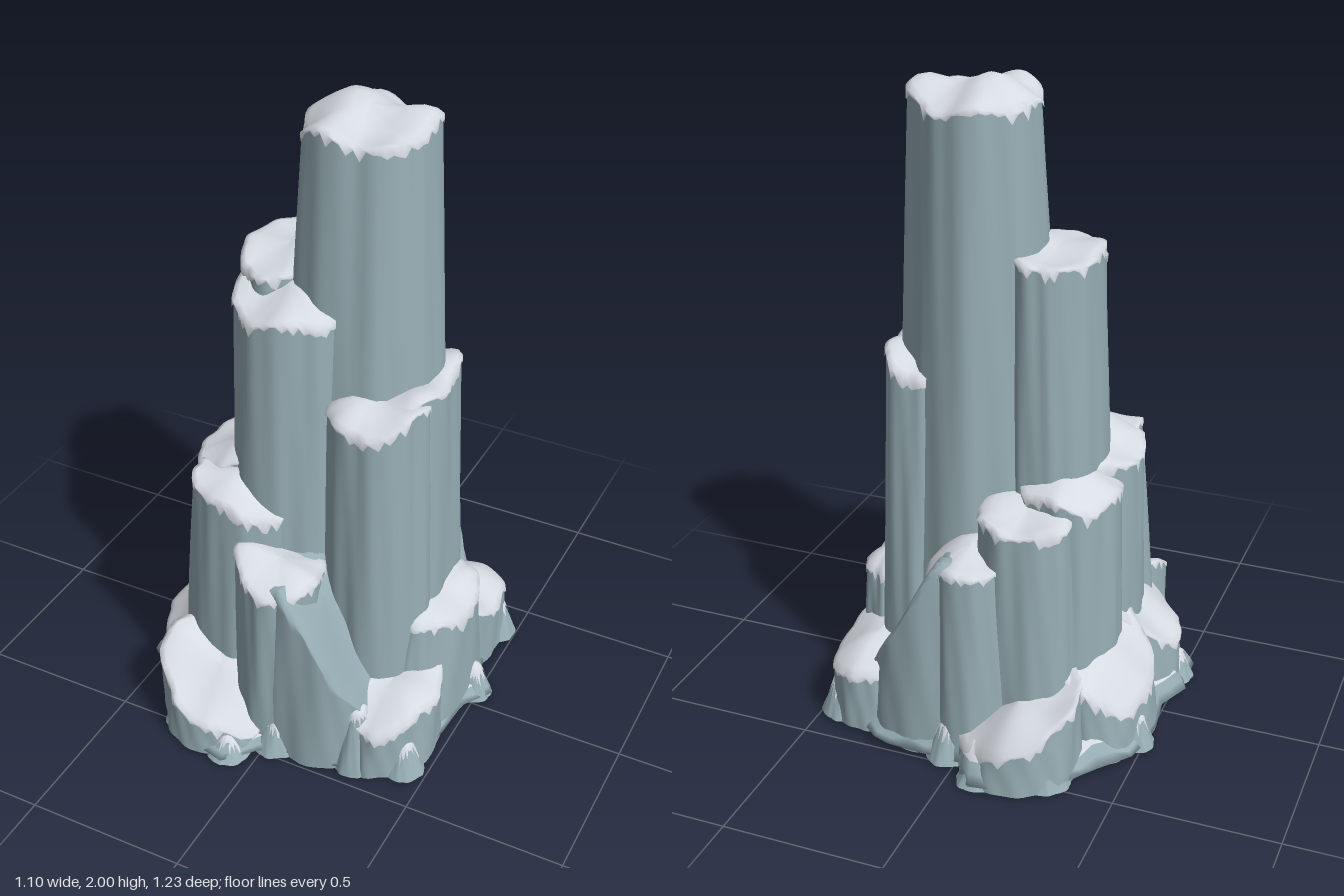
import * as THREE from 'three';

const SEG = 64;

export function createModel() {
  const rock = new THREE.MeshStandardMaterial({ color: 0x97aeb4 });
  rock.name = 'blue grey rock';
  const snow = new THREE.MeshStandardMaterial({ color: 0xd6dbe2, side: THREE.DoubleSide });
  snow.name = 'snow';
  const group = new THREE.Group();
  group.name = 'snowyRockSpire';

  // seeded value in 0..1
  const rand = (i, s) => {
    const v = Math.sin(i * 127.1 + s * 311.7) * 43758.5453;
    return v - Math.floor(v);
  };
  const lerp = THREE.MathUtils.lerp;

  // smooth skin through closed rings; point(ring, angle, index) gives [x, y, z]
  function loft(rings, point) {
    const pos = [], idx = [];
    for (let k = 0; k < rings; k++)
      for (let i = 0; i < SEG; i++) pos.push(...point(k, (i / SEG) * Math.PI * 2, i));
    for (let k = 0; k < rings - 1; k++)
      for (let i = 0; i < SEG; i++) {
        const j = (i + 1) % SEG, a = k * SEG + i, b = k * SEG + j;
        idx.push(a, a + SEG, b + SEG, a, b + SEG, b);
      }
    const g = new THREE.BufferGeometry();
    g.setAttribute('position', new THREE.Float32BufferAttribute(pos, 3));
    g.setIndex(idx);
    g.computeVertexNormals();
    return g;
  }

  function add(parent, name, geometry, material) {
    const mesh = new THREE.Mesh(geometry, material);
    mesh.name = name;
    parent.add(mesh);
  }

  // fluted pillar; foot and head are [x, z, radiusX, radiusZ], slopes tilt the top
  function pillar(name, seed, foot, head, h, o = {}) {
    const { sx = 0, sz = 0, dome = 0.025, max = 9, capMat = snow, bump = 0.012, drip = 0.035 } = o;
    const part = new THREE.Group();
    part.name = name;
    group.add(part);
    const wave = (a, v) => 1 + 0.03 * Math.sin(3 * a + seed + v * 0.6) + 0.025 * Math.sin(5 * a + 2.1 * seed + v * 1.6)
      + 0.02 * Math.sin(9 * a + 3.3 * seed + v * 2.5) + 0.008 * Math.sin(16 * a + seed - v * 5);
    const plan = (a, v, rho, out = 0) => {
      const r = wave(a, v) * rho;
      const c = foot.map((f, i) => lerp(f, head[i], v));
      return [c[0] + Math.cos(a) * (c[2] * r + out), c[1] + Math.sin(a) * (c[3] * r + out)];
    };
    const topY = (x, z) => Math.max(0.05, Math.min(max, h + sx * (x - head[0]) + sz * (z - head[1]))
      + bump * (Math.sin(x * 27 + seed) + Math.cos(z * 25 + seed * 2)));

    const levels = [0, 0.1, 0.25, 0.4, 0.55, 0.7, 0.85, 0.95, 1];
    add(part, 'rockWall', loft(levels.length, (k, a) => {
      const v = levels[k];
      const [x, z] = plan(a, v, 1);
      const [tx, tz] = plan(a, 1, 1);
      return [x, 0.01 + v * (topY(tx, tz) - 0.01), z];
    }), rock);

    // cap with a ragged hanging rim
    const rhos = [1, 1, 0.93, 0.75, 0.5, 0.25, 0.002];
    add(part, capMat === snow ? 'snowCap' : 'rockTop', loft(rhos.length, (k, a, i) => {
      const rho = rhos[k];
      const [x, z] = plan(a, 1, rho, k < 2 ? 0.005 : 0);
      const y = topY(x, z);
      if (k === 0) {
        const drop = Math.min(y * 0.5, 0.006 + drip * rand(i, seed) ** 2.5);
        const [bx, bz] = plan(a, 1 - drop / y, 1, 0.005);
        return [bx, y - drop, bz];
      }
      return [x, y + dome * (1 - rho * rho) + (k > 1 ? 0.006 : 0), z];
    }), capMat);
  }

  // tall stepped pillars
  pillar('mainSpire', 1, [0.08, -0.03, 0.29, 0.295], [0.09, -0.045, 0.185, 0.185], 1.935, { dome: 0.035, bump: 0.016 });
  pillar('frontLeftPillar', 2, [-0.08, 0.15, 0.19, 0.18], [-0.07, 0.13, 0.165, 0.145], 1.435, { sz: -0.15 });
  pillar('leftPillar', 3, [-0.18, -0.02, 0.16, 0.24], [-0.15, -0.03, 0.125, 0.19], 1.5, { dome: 0.01, bump: 0.008 });
  pillar('frontRightPillar', 4, [0.22, 0.13, 0.18, 0.18], [0.21, 0.13, 0.145, 0.155], 1.14, { sx: 0.1 });
  pillar('rightPillar', 5, [0.24, -0.04, 0.165, 0.265], [0.235, -0.03, 0.13, 0.22], 1.15, { sx: 0.1 });

  // middle ledges around the left half
  pillar('frontLeftLedge', 6, [-0.2, 0.24, 0.19, 0.16], [-0.17, 0.25, 0.15, 0.125], 0.81, { sx: -0.3 });
  pillar('leftLedge', 7, [-0.26, 0.08, 0.14, 0.18], [-0.25, 0.09, 0.13, 0.17], 0.86, { sx: 0.15 });
  pillar('backLeftLedge', 8, [-0.24, -0.13, 0.16, 0.2], [-0.23, -0.12, 0.145, 0.18], 0.83, { sx: 0.15 });
  pillar('backLedge', 9, [-0.16, -0.27, 0.17, 0.17], [-0.15, -0.28, 0.14, 0.14], 0.77);

  // mirrored spurs, shelves and aprons at front and back
  [['front', 1, 10], ['back', -1, 12]].forEach(([side, s, seed]) => {
    pillar(side + 'Spur', seed, [0.11, s * 0.31, 0.24, 0.18], [0.13, s * 0.32, 0.2, 0.16], 0.52,
      { sx: -1.65, max: 0.63, capMat: rock, dome: 0.02 });
    pillar(side + 'SpurCrest', seed + 1, [-0.01, s * 0.33, 0.15, 0.16], [0, s * 0.345, 0.125, 0.14], 0.635,
      { sx: -0.25, dome: 0.03 });
    pillar(side + 'RightShelf', seed + 5, [0.34, s * 0.26, 0.14, 0.19], [0.34, s * 0.26, 0.135, 0.18], 0.24,
      { sx: -0.15, sz: -s * 0.25, dome: 0.02 });
    pillar(side + 'LeftShelf', seed + 6, [-0.36, s * 0.16, 0.15, 0.205], [-0.35, s * 0.16, 0.145, 0.195], 0.3,
      { sx: 0.8, sz: -s * 0.25, max: 0.38, dome: 0.015 });
    pillar(side + 'Apron', seed + 7, [-0.18, s * 0.42, 0.19, 0.175], [-0.18, s * 0.42, 0.18, 0.16], 0.2,
      { sx: -0.4, sz: -s * 0.45, dome: 0.02 });
  });
  pillar('rightButtress', 14, [0.37, 0, 0.115, 0.26], [0.385, 0, 0.09, 0.18], 0.42, { dome: 0.035, sx: -0.5 });

  // low snow-covered mounds at the foot: x, z, radius, height
  [[0.48, -0.05, 0.04, 0.1], [-0.48, 0.2, 0.04, 0.09], [-0.47, -0.2, 0.04, 0.1], [-0.09, 0.54, 0.045, 0.07],
    [-0.1, -0.54, 0.045, 0.08], [0.42, 0.36, 0.045, 0.12], [0.43, -0.36, 0.045, 0.12], [0.03, 0.44, 0.05, 0.13],
    [-0.27, 0.47, 0.05, 0.12], [-0.28, -0.48, 0.05, 0.12], [0.28, 0.4, 0.05, 0.22], [0.03, -0.45, 0.05, 0.12],
  ].forEach(([x, z, r, h], i) => pillar('mound' + (i + 1), 20 + i, [x, z, r * 1.6, r * 1.6],
    [x, z, r * 0.6, r * 0.6], h, { dome: 0.015, drip: 0.05, bump: 0.005 }));

  // jagged outline of the foot as x, z corners, turning from +x towards +z
  const outline = [[0.55, -0.05], [0.485, 0.05], [0.48, 0.2], [0.46, 0.3], [0.48, 0.38], [0.4, 0.42], [0.33, 0.46],
    [0.15, 0.48], [0.05, 0.49], [0, 0.52], [-0.08, 0.61], [-0.2, 0.58], [-0.3, 0.52], [-0.35, 0.42], [-0.42, 0.32],
    [-0.5, 0.29], [-0.55, 0.24], [-0.51, 0.18], [-0.55, 0.12], [-0.5, 0], [-0.52, -0.14], [-0.5, -0.29],
    [-0.41, -0.4], [-0.32, -0.53], [-0.2, -0.58], [-0.1, -0.62], [-0.04, -0.56], [-0.02, -0.51], [0.1, -0.51],
    [0.25, -0.5], [0.35, -0.42], [0.45, -0.41], [0.48, -0.35], [0.45, -0.25], [0.47, -0.15]];
  const curve = new THREE.CurvePath();
  outline.forEach((p, i) => curve.add(new THREE.LineCurve(
    new THREE.Vector2(...p), new THREE.Vector2(...outline[(i + 1) % outline.length]))));
  const rim = curve.getSpacedPoints(SEG);
  const footRing = (profile) => loft(profile.length, (k, a, i) => {
    const [f, y] = profile[k];
    return [rim[i].x * f, y * (y > 0.03 ? 0.7 + 0.6 * rand(i, 5) : 1), rim[i].y * f];
  });
  add(group, 'rockFoot', footRing([[0.94, 0.005], [1, 0.025], [0.975, 0.045], [0.94, 0.07]]), rock);
  add(group, 'footSnow', footRing([[0.94, 0.07], [0.86, 0.1], [0.6, 0.12], [0.001, 0.13]]), snow);
  add(group, 'underside', footRing([[0, 0], [0.7, 0], [0.94, 0.005]]), rock);

  return group;
}
